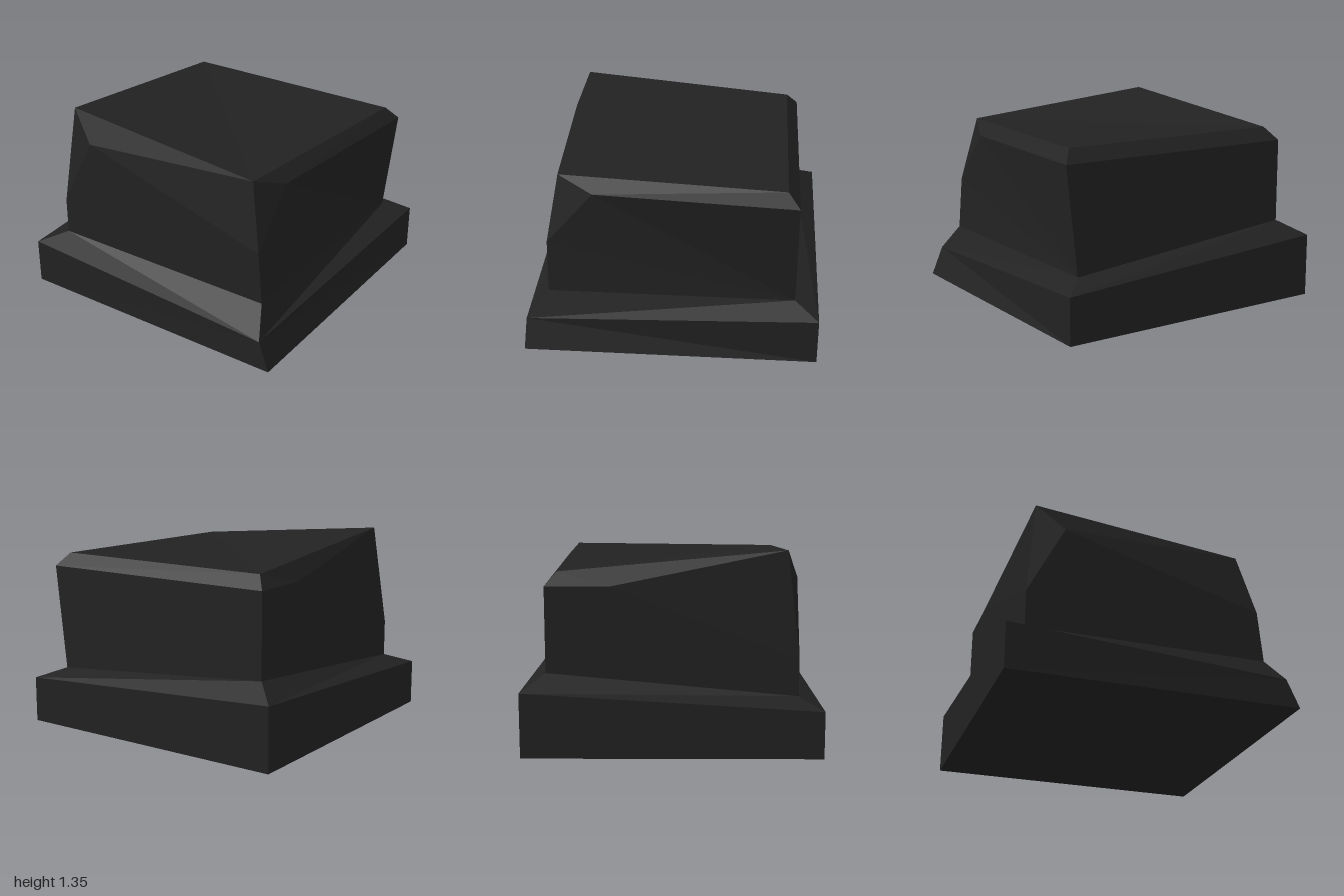
import * as THREE from 'three';

const CORE = new THREE.Vector3(0, 0.3, 0);

// Flat-sided mesh from named corners; each face is a fan from its first corner, turned outward.
function facets(name, corners, faces, material) {
  const points = [];
  for (const face of faces) {
    const p = face.split(' ').map((k) => new THREE.Vector3(...corners[k]));
    for (let i = 1; i < p.length - 1; i++) {
      const [a, b, c] = [p[0], p[i], p[i + 1]];
      const n = b.clone().sub(a).cross(c.clone().sub(a));
      points.push(...(n.dot(a.clone().sub(CORE)) > 0 ? [a, b, c] : [a, c, b]));
    }
  }
  const geometry = new THREE.BufferGeometry().setFromPoints(points);
  geometry.computeVertexNormals();
  const mesh = new THREE.Mesh(geometry, material);
  mesh.name = name;
  return mesh;
}

// Corner keys: f/b = front/back, l/r = -x/+x side, then the level.
const corners = {
  // ground
  fl0: [-1, 0, 1], fr0: [1, 0, 1], br0: [1, 0, -1], bl0: [-1, 0, -1],
  // outer rim of the ledge, chipped at one corner
  fl1: [-1, 0.32, 1], fr1: [0.92, 0.2, 0.99], br1: [1, 0.32, -1], bl1: [-1, 0.44, -1],
  // foot of the block
  fl2: [-0.84, 0.385, 0.84], fr2: [0.84, 0.385, 0.84], br2: [0.84, 0.385, -0.84], bl2: [-0.84, 0.54, -0.84],
  // top of the walls
  fl3: [-0.84, 0.64, 0.84], fr3: [0.81, 0.75, 0.84], br3: [0.92, 1.12, -0.84], bl3: [-0.84, 1.12, -0.84],
  // ends of the cut corners
  frontCut: [-0.58, 1.15, 0.84], rightCut: [0.81, 1.12, 0.52], leftCut: [-0.84, 1.12, -0.41],
  // top face
  fl4: [-0.77, 1.35, 0.76], fr4: [0.71, 1.21, 0.76], br4: [0.85, 1.21, -0.76], bl4: [-0.77, 1.21, -0.76],
};

const baseFaces = [
  'fl0 fr0 br0 bl0',
  // outer walls
  'fr1 fl1 fl0 fr0', 'fr1 fr0 br0 br1', 'br1 br0 bl0 bl1', 'bl1 bl0 fl0 fl1',
  // sloping ledge
  'fr1 fr2 fl2 fl1', 'fr1 br1 br2 fr2', 'br1 bl1 bl2 br2', 'bl1 fl1 fl2 bl2',
];

const blockFaces = [
  // walls
  'frontCut fl3 fl2 fr2 fr3', 'br2 br3 rightCut fr3 fr2',
  'br2 bl2 bl3 br3', 'leftCut bl3 bl2 fl2 fl3',
  // bevels and cut corners
  'frontCut fr4 fl4', 'frontCut fl4 fl3', 'frontCut fr3 fr4',
  'rightCut fr4 fr3', 'rightCut br3 br4 fr4',
  'br3 bl3 bl4 br4', 'leftCut bl4 bl3', 'leftCut fl4 bl4', 'leftCut fl3 fl4',
  // top
  'fr4 br4 bl4 fl4',
];

export function createModel() {
  const stone = new THREE.MeshStandardMaterial({ color: 0x222222 });
  stone.name = 'darkStone';
  const group = new THREE.Group();
  group.name = 'stoneBlock';
  group.add(
    facets('base', corners, baseFaces, stone),
    facets('block', corners, blockFaces, stone),
  );
  return group;
}
